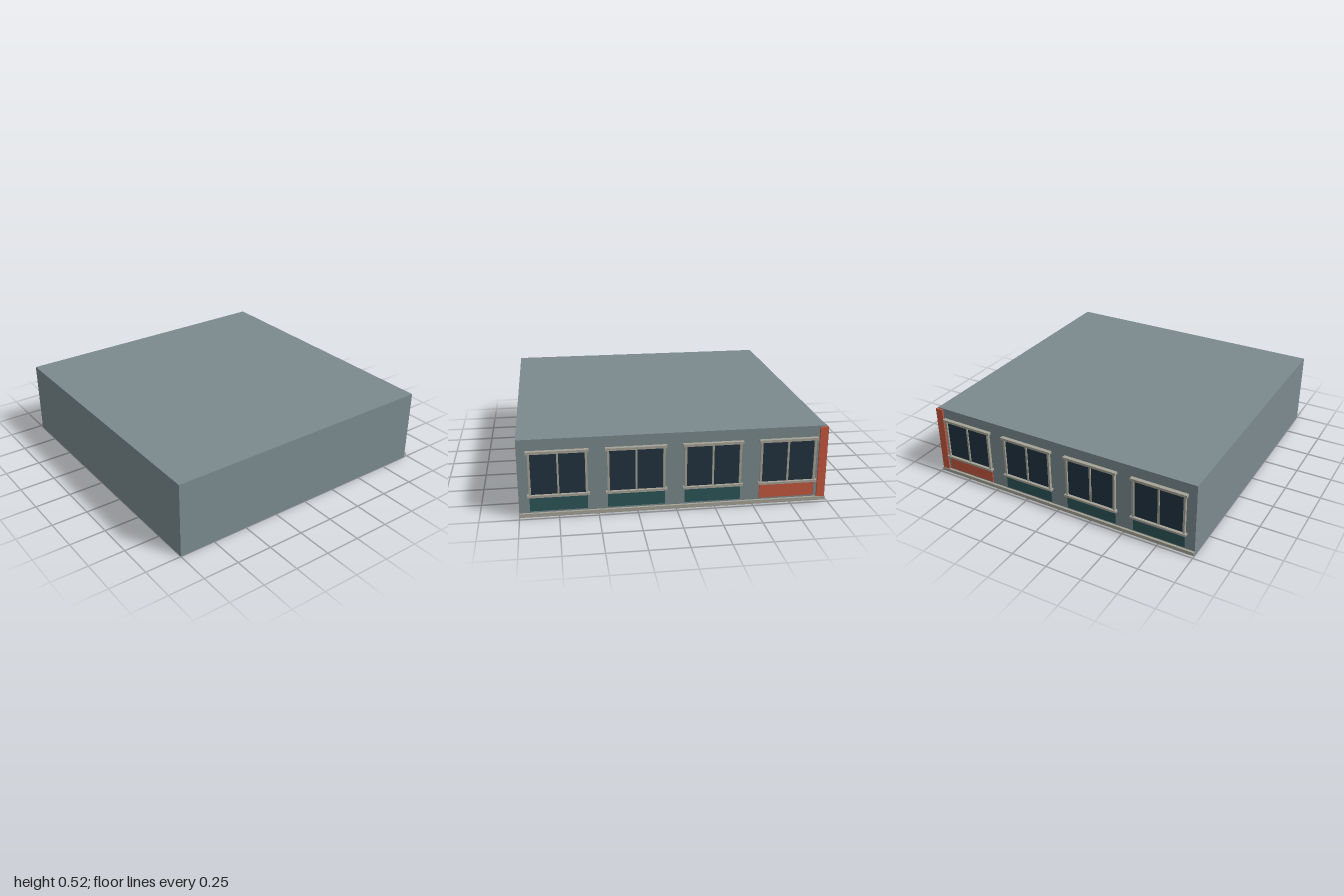
import * as THREE from 'three';

const mat = (color) => new THREE.MeshStandardMaterial({ color, flatShading: true });
const WALL = 0.972; // distance of the two decorated walls from the centre

export function createModel() {
  const model = new THREE.Group();
  const wall = mat(0x7b8a8e), trim = mat(0xa5a397), glass = mat(0x223340),
    teal = mat(0x2d5658), red = mat(0xc4583f);

  // Box given by its limits along the wall (u), in height (y) and by how far it stands out.
  // side = true mirrors it from the back wall (-z) to the right-hand wall (-x).
  function part(parent, name, material, side, u0, u1, y0, y1, out) {
    const depth = out + 0.004; // sunk slightly into the wall
    const w = u1 - u0, u = (u0 + u1) / 2, d = -WALL - out + depth / 2;
    const mesh = new THREE.Mesh(
      new THREE.BoxGeometry(side ? depth : w, y1 - y0, side ? w : depth), material);
    mesh.position.set(side ? d : u, (y0 + y1) / 2, side ? u : d);
    mesh.name = name;
    parent.add(mesh);
  }

  // Storey block
  const block = new THREE.Mesh(new THREE.BoxGeometry(1 + WALL, 0.522, 1 + WALL), wall);
  block.position.set((1 - WALL) / 2, 0.261, (1 - WALL) / 2);
  block.name = 'storeyBlock';
  model.add(block);

  function windowBay(side, c, panelMaterial) {
    const bay = new THREE.Group();
    bay.name = 'windowBay';
    const add = (name, m, a, b, y0, y1, out) => part(bay, name, m, side, c + a, c + b, y0, y1, out);
    add('glass', glass, -0.18, 0.18, 0.158, 0.432, 0.008);
    add('leftJamb', trim, -0.184, -0.17, 0.158, 0.432, 0.02);
    add('rightJamb', trim, 0.17, 0.184, 0.158, 0.432, 0.02);
    add('mullion', trim, -0.006, 0.006, 0.158, 0.432, 0.016);
    add('lintel', trim, -0.195, 0.195, 0.432, 0.449, 0.027);
    add('sill', trim, -0.195, 0.195, 0.143, 0.158, 0.028);
    add('panel', panelMaterial, -0.182, 0.182, 0.045, 0.143, 0.008);
    model.add(bay);
  }

  for (const side of [false, true]) {
    // Four bays per wall; the one at the corner has the red panel
    for (let i = 0; i < 4; i++) windowBay(side, -0.725 + i * 0.4917, i === 0 ? red : teal);
    // Plinth strip and the L-shaped corner post
    part(model, 'plinth', trim, side, side ? -WALL : -WALL - 0.016, 1, 0.008, 0.032, 0.016);
    part(model, 'cornerPost', red, side, side ? -WALL : -WALL - 0.012, -0.93, 0.032, 0.514, 0.012);
  }
  return model;
}
